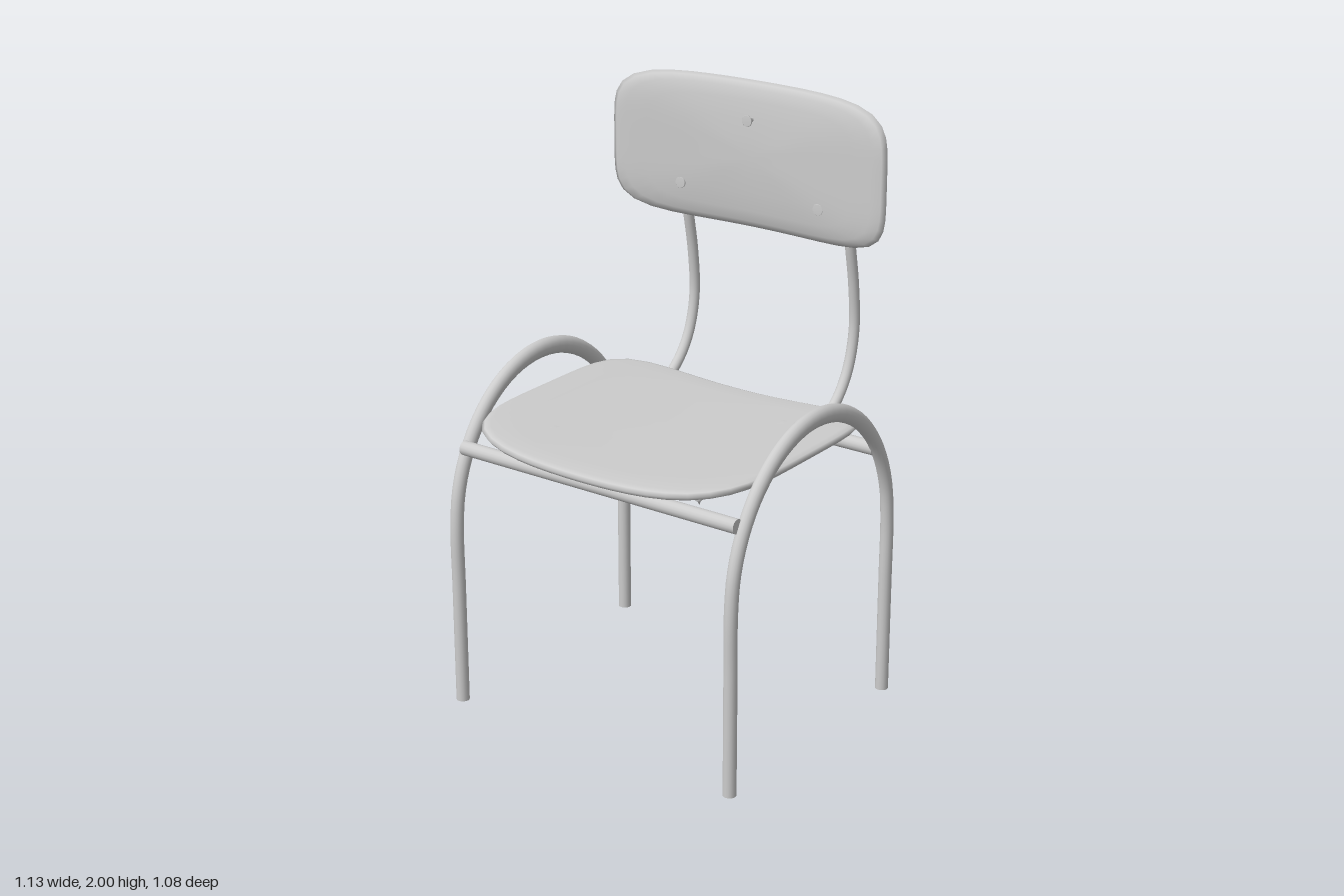
import * as THREE from 'three';
import { mergeVertices } from 'three/addons/utils/BufferGeometryUtils.js';

const grey = new THREE.MeshStandardMaterial({ color: 0xcccccc });
grey.name = 'grey';

const V = (x, y, z) => new THREE.Vector3(x, y, z);

function part(name, geometry) {
  const mesh = new THREE.Mesh(geometry, grey);
  mesh.name = name;
  return mesh;
}

// Round tube along a smooth path with closed ends; tall stretches it upwards where it runs level.
function tube(name, points, radius, segments, tall = 1) {
  const path = new THREE.CatmullRomCurve3(points);
  const sides = 16;
  const geo = new THREE.TubeGeometry(path, segments, radius, sides);
  const pos = geo.attributes.position;
  if (tall !== 1) {
    for (let i = 0; i < pos.count; i++) {
      const c = path.getPointAt(Math.floor(i / (sides + 1)) / segments);
      pos.setY(i, c.y + (pos.getY(i) - c.y) * tall);
    }
  }
  const group = new THREE.Group();
  group.name = name;
  group.add(part('tubing', geo));
  for (const end of [0, 1]) {
    const cap = part('tubeEnd', new THREE.CircleGeometry(radius, sides));
    cap.position.copy(path.getPointAt(end));
    cap.lookAt(cap.position.clone().addScaledVector(path.getTangentAt(end), end ? 1 : -1));
    group.add(cap);
  }
  return group;
}

// Turned lens stretched to a rounded rectangle and bent up towards its sides.
// Profile runs bottom to top as [share of outline, height].
function pad(name, profile, a, b, nFront, nBack, bend) {
  let geo = new THREE.LatheGeometry(profile.map(([r, y]) => new THREE.Vector2(r, y)), 56);
  geo.deleteAttribute('uv');
  geo.deleteAttribute('normal');
  const pos = geo.attributes.position;
  for (let i = 0; i < pos.count; i++) {
    const x = pos.getX(i), z = pos.getZ(i);
    const r = Math.hypot(x, z);
    if (r < 1e-6) continue;
    const n = z > 0 ? nFront : nBack;
    const k = Math.pow(Math.pow(Math.abs(x / r), n) + Math.pow(Math.abs(z / r), n), -1 / n);
    pos.setXYZ(i, x * k * a, pos.getY(i) + bend * (x * k) ** 2, z * k * b);
  }
  geo = mergeVertices(geo, 1e-5);
  geo.computeVertexNormals();
  return part(name, geo);
}

// Screw pointing down, with the top of its head at the origin.
function screw(name, length) {
  const pts = [[0, -length], [0.005, -length + 0.012]];
  for (let y = -length + 0.018; y < -0.035; y += 0.012) {
    pts.push([0.013, y], [0.008, y + 0.006]);
  }
  pts.push([0.008, -0.02], [0.019, -0.004], [0.019, -0.001], [0.018, 0], [0, 0]);
  const geo = new THREE.LatheGeometry(pts.map(([r, y]) => new THREE.Vector2(r, y)), 14);
  return part(name, geo);
}

export function createModel() {
  const chair = new THREE.Group();
  chair.name = 'chair';

  for (const side of [1, -1]) {
    const label = side > 0 ? 'left' : 'right';

    // Side frame: two legs joined by an arched armrest
    const x = 0.542 * side;
    const pts = [V(x, 0, 0.49), V(x, 0.2, 0.49), V(x, 0.42, 0.49)];
    for (let i = 0; i <= 12; i++) {
      const t = (Math.PI * i) / 12;
      pts.push(V(x, 0.62 + 0.49 * Math.sin(t), 0.045 + 0.445 * Math.cos(t)));
    }
    pts.push(V(x, 0.42, -0.4), V(x, 0.2, -0.4), V(x, 0, -0.4));
    chair.add(tube(label + 'SideFrame', pts, 0.022, 72, 1.4));

    // Bent upright carrying the backrest
    const u = 0.322 * side;
    chair.add(tube(label + 'BackSupport', [
      V(u, 0.9, -0.325), V(u, 0.945, -0.385), V(u, 1.0, -0.445), V(u, 1.08, -0.493),
      V(u, 1.2, -0.52), V(u, 1.35, -0.51), V(u, 1.5, -0.482), V(u, 1.65, -0.455), V(u, 1.79, -0.44),
    ], 0.018, 36));

    // Seat screws, leaning with the dished seat
    for (const z of [0.302, -0.167]) {
      const s = screw('seatScrew', 0.125);
      s.position.set(0.277 * side, 0.971, z);
      s.rotation.z = 0.1 * side;
      chair.add(s);
    }
  }

  // Rails under the seat
  for (const [name, z] of [['frontRail', 0.45], ['backRail', -0.322]]) {
    const rail = part(name, new THREE.CylinderGeometry(0.024, 0.024, 1.07, 16));
    rail.rotation.z = Math.PI / 2;
    rail.position.set(0, 0.89, z);
    chair.add(rail);
  }

  // Dished seat
  const seat = pad('seat', [
    [0, -0.036], [0.3, -0.034], [0.55, -0.028], [0.78, -0.018], [0.93, -0.008], [0.98, 0.002],
    [1, 0.014], [0.985, 0.025], [0.95, 0.031], [0.8, 0.033], [0.55, 0.033], [0.3, 0.033], [0, 0.033],
  ], 0.53, 0.461, 4, 5.5, 0.043);
  seat.position.set(0, 0.926, 0.076);
  chair.add(seat);

  // Curved backrest
  const half = [[0, 0.042], [0.25, 0.041], [0.5, 0.037], [0.75, 0.031], [0.9, 0.023], [0.97, 0.013]];
  const back = pad('backrest', [
    ...half.map(([r, y]) => [r, -y]), [1, 0], ...half.slice().reverse(),
  ], 0.532, 0.245, 5, 5, 0.068);
  back.rotation.x = Math.PI / 2;
  back.position.set(0, 1.755, -0.42);
  chair.add(back);

  // Backrest screws; the upper one stands proud
  for (const [x, y, z, length] of [[0, 1.88, -0.354, 0.138], [0.27, 1.63, -0.364, 0.132], [-0.27, 1.63, -0.364, 0.132]]) {
    const s = screw('backrestScrew', length);
    s.rotation.x = Math.PI / 2;
    s.position.set(x, y, z);
    chair.add(s);
  }

  return chair;
}
